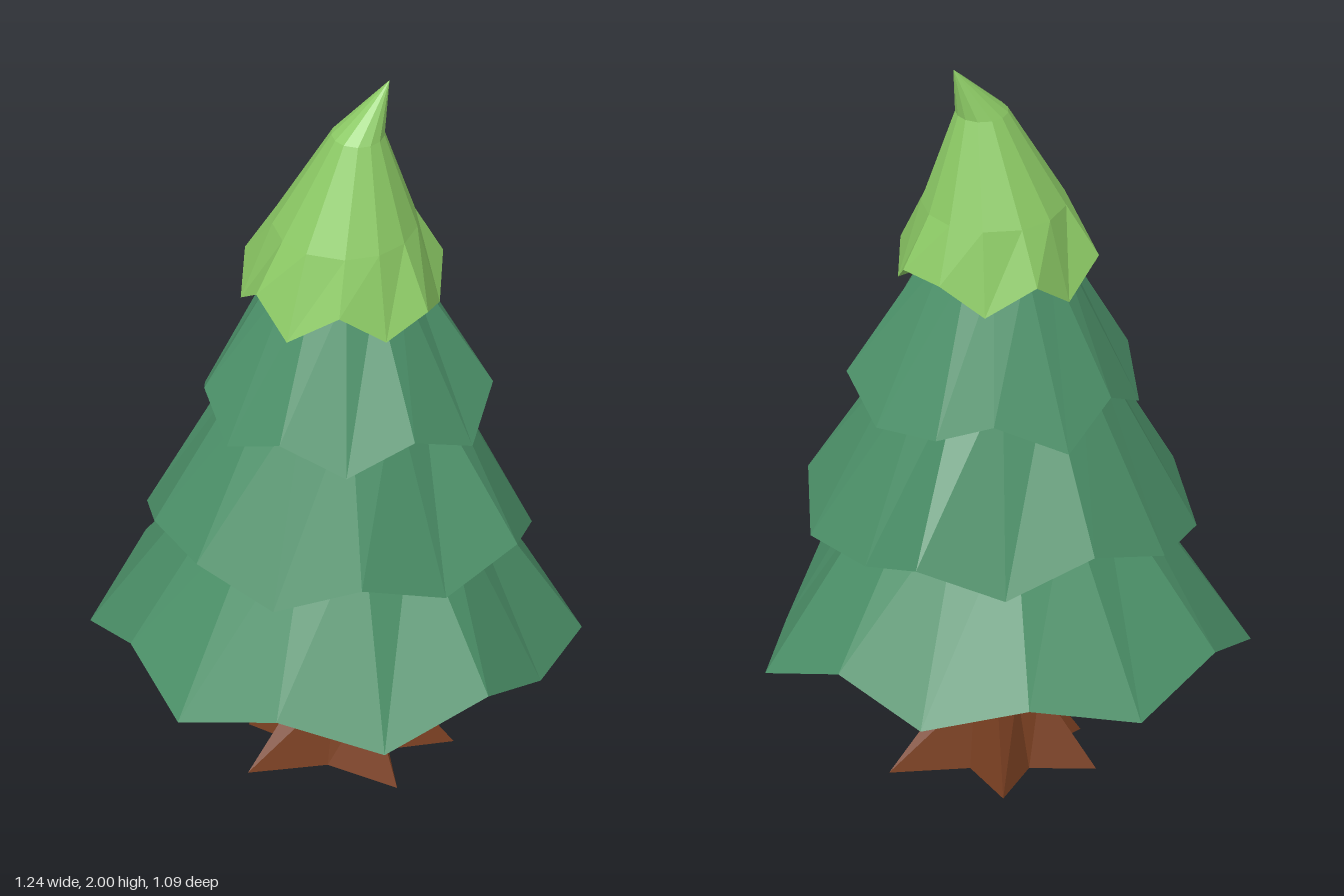
import * as THREE from 'three';

const mat = (name, color) => {
  const m = new THREE.MeshStandardMaterial({ color, flatShading: true });
  m.name = name;
  return m;
};

// Joins rings of [x, y, z] points, inside-bottom first, into one faceted skin
function loft(rings) {
  const pos = [];
  const same = (p, q) => p.every((v, k) => Math.abs(v - q[k]) < 1e-6);
  const tri = (a, b, c) => {
    if (!same(a, b) && !same(b, c) && !same(a, c)) pos.push(...a, ...b, ...c);
  };
  for (let r = 0; r + 1 < rings.length; r++) {
    const a = rings[r], b = rings[r + 1], n = a.length;
    for (let i = 0; i < n; i++) {
      const j = (i + 1) % n;
      tri(a[i], b[i], a[j]);
      tri(a[j], b[i], b[j]);
    }
  }
  const g = new THREE.BufferGeometry();
  g.setAttribute('position', new THREE.Float32BufferAttribute(pos, 3));
  g.computeVertexNormals();
  return g;
}

// Ring of radius r that keeps the angles of a rim
const ringLike = (rim, r, y, cx = 0, cz = 0) => rim.map(([x, , z]) => {
  const l = Math.hypot(x, z);
  return [cx + (x / l) * r, y, cz + (z / l) * r];
});

// A skirt of foliage: hollow underside, jagged rim, then [radius, y, cx, cz] rings
const skirt = (rim, underY, upper) => loft([
  ringLike(rim, 0, underY), rim, ...upper.map((u) => ringLike(rim, ...u)),
]);

export function createModel() {
  const tree = new THREE.Group();
  tree.name = 'pineTree';
  const green = mat('pine green', 0x4c9169);
  const lime = mat('fresh lime', 0x8cca65);
  const brown = mat('bark brown', 0x7b4022);
  const add = (name, geometry, material) => {
    const m = new THREE.Mesh(geometry, material);
    m.name = name;
    tree.add(m);
  };

  // Jagged rims, each point is [x, y, z]
  const lowerRim = [
    [-0.62, 0.325, -0.14], [-0.46, 0.43, -0.38], [-0.22, 0.345, -0.545], [0.07, 0.41, -0.53],
    [0.33, 0.345, -0.44], [0.49, 0.43, -0.24], [0.615, 0.33, 0], [0.49, 0.34, 0.25],
    [0.34, 0.44, 0.46], [0.07, 0.33, 0.54], [-0.2, 0.41, 0.49], [-0.44, 0.345, 0.37],
    [-0.54, 0.43, 0.13],
  ];
  const middleRim = [
    [-0.475, 0.675, -0.15], [-0.34, 0.7, -0.335], [-0.13, 0.77, -0.43], [0.1, 0.67, -0.415],
    [0.32, 0.76, -0.36], [0.4, 0.69, -0.17], [0.485, 0.685, 0.04], [0.43, 0.765, 0.26],
    [0.24, 0.685, 0.37], [0.02, 0.77, 0.45], [-0.2, 0.68, 0.39], [-0.385, 0.76, 0.275],
    [-0.475, 0.76, 0.07],
  ];
  const upperRim = [
    [-0.33, 1.04, -0.13], [-0.22, 1.13, -0.26], [-0.08, 1.04, -0.365], [0.11, 1.13, -0.34],
    [0.24, 1.07, -0.26], [0.355, 1.05, -0.11], [0.385, 1.13, 0.06], [0.32, 1.04, 0.215],
    [0.165, 1.13, 0.325], [-0.01, 1.04, 0.34], [-0.175, 1.11, 0.28], [-0.3, 1.05, 0.18],
    [-0.345, 1.13, 0.03],
  ];
  const crownRim = [
    [-0.23, 1.46, -0.11], [-0.13, 1.38, -0.19], [-0.03, 1.46, -0.245], [0.1, 1.38, -0.22],
    [0.2, 1.45, -0.15], [0.268, 1.46, -0.055], [0.25, 1.38, 0.06], [0.21, 1.43, 0.18],
    [0.1, 1.38, 0.235], [-0.02, 1.46, 0.24], [-0.15, 1.37, 0.2], [-0.22, 1.46, 0.11],
    [-0.25, 1.38, 0],
  ];
  add('lowerFoliage', skirt(lowerRim, 0.46, [[0.28, 0.86], [0, 0.9]]), green);
  add('middleFoliage', skirt(middleRim, 0.82, [[0.23, 1.2], [0, 1.24]]), green);
  add('upperFoliage', skirt(upperRim, 1.16, [[0.16, 1.48, 0.01, -0.01], [0, 1.52]]), green);

  // Crown with its bent tip
  add('crown', skirt(crownRim, 1.48, [
    [0.185, 1.6, 0.015, -0.002], [0.068, 1.86, 0.048, -0.005], [0, 2, 0.13, -0.03],
  ]), lime);

  // Trunk with five pointed roots and valleys between them
  const roots = [[-0.22, -0.12], [0.05, -0.213], [0.29, 0], [0.13, 0.2], [-0.24, 0.1]];
  const foot = roots.flatMap(([x, z], i) => {
    const [nx, nz] = roots[(i + 1) % roots.length];
    const l = Math.hypot(x + nx, z + nz);
    return [[x, 0, z], [((x + nx) / l) * 0.11, 0.015, ((z + nz) / l) * 0.11]];
  });
  const trunkRing = (tip, valley, y) => foot.map(([x, , z], i) => {
    const k = (i % 2 ? valley : tip) / Math.hypot(x, z);
    return [x * k + 0.01, y, z * k];
  });
  add('trunk', loft([
    ringLike(foot, 0, 0.05), foot,
    trunkRing(0.115, 0.08, 0.22), trunkRing(0.11, 0.085, 0.52), ringLike(foot, 0, 0.53),
  ]), brown);

  return tree;
}
